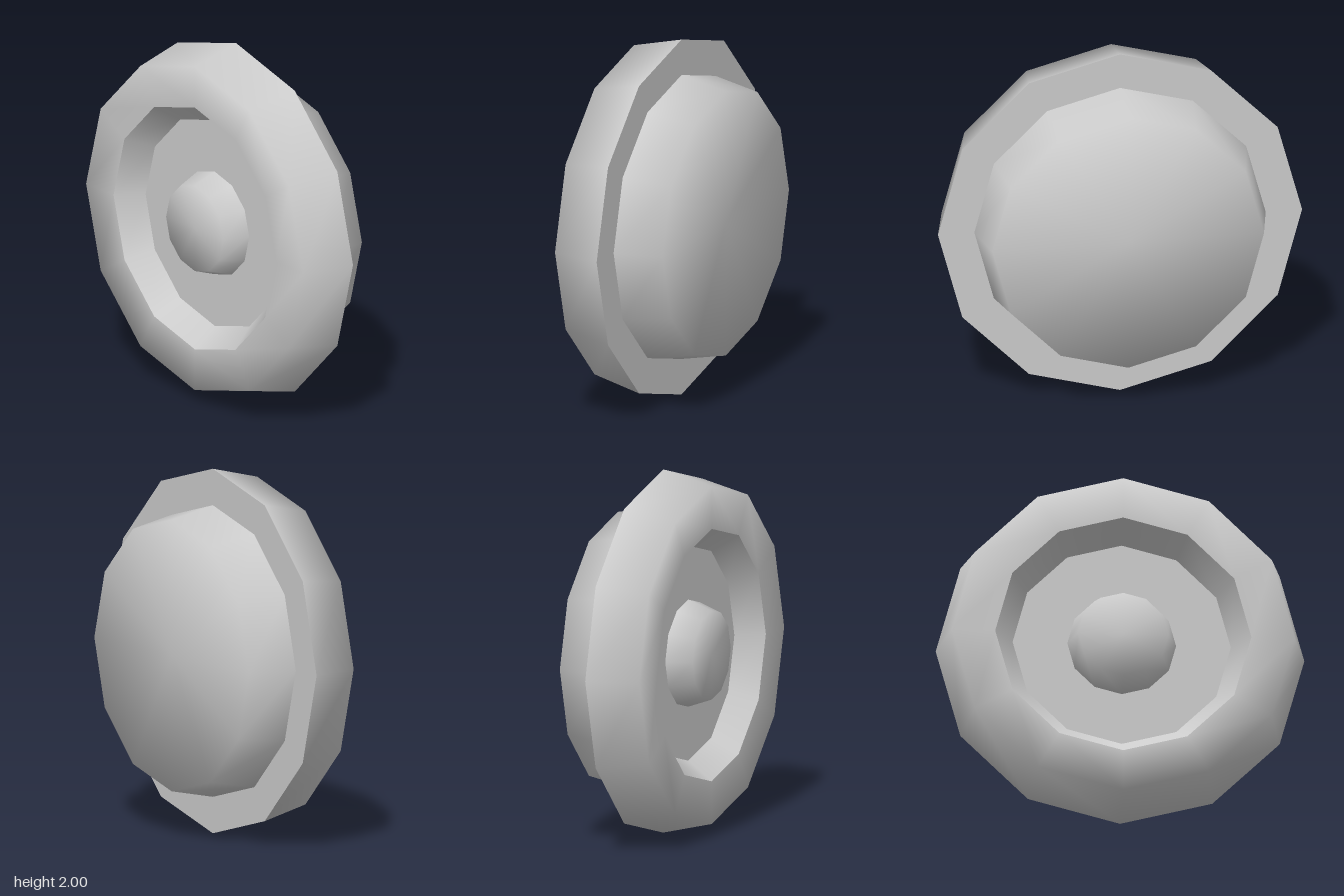
import * as THREE from 'three';

const SIDES = 12;

// Twelve-sided turned surface; profile is [radius, z] pairs running back to front on outer faces.
// Normals are averaged evenly at each inner profile point, so a profile is one smooth patch.
function turned(name, profile) {
  const pts = profile.map(([r, z]) => new THREE.Vector2(r, z));
  const geo = new THREE.LatheGeometry(pts, SIDES);
  const seg = pts.slice(1).map((p, i) =>
    new THREE.Vector2(p.y - pts[i].y, pts[i].x - p.x).normalize());
  const nor = geo.attributes.normal;
  for (let i = 0; i <= SIDES; i++) {
    const a = (i / SIDES) * Math.PI * 2;
    pts.forEach((p, j) => {
      const n = new THREE.Vector2();
      if (p.x === 0) n.copy(seg[Math.min(j, seg.length - 1)]);
      else {
        if (j > 0) n.add(seg[j - 1]);
        if (j < seg.length) n.add(seg[j]);
      }
      if (p.x === 0) n.set(0, Math.sign(n.y));
      n.normalize();
      nor.setXYZ(i * pts.length + j, n.x * Math.sin(a), n.y, n.x * Math.cos(a));
    });
  }
  geo.rotateX(Math.PI / 2);
  const mesh = new THREE.Mesh(geo, new THREE.MeshStandardMaterial({ color: 0xcccccc }));
  mesh.name = name;
  return mesh;
}

export function createModel() {
  const model = new THREE.Group();
  model.name = 'roundKnob';

  const back = -0.28, mid = -0.01, floor = 0.14, front = 0.28;

  // Rear drum with closed back, softly shaded into its tapered side
  model.add(turned('rearDrum', [[0, back], [0.745, back], [0.8, mid]]));
  // Flat step behind the wide rim
  model.add(turned('rearShoulder', [[0.8, mid], [1, mid]]));
  // Wide tapered rim with its front face
  model.add(turned('outerRim', [[1, mid], [0.93, front], [0.695, front]]));
  // Sunken dish: sloped wall and flat floor
  model.add(turned('recessWall', [[0.695, front], [0.592, floor]]));
  model.add(turned('recessFloor', [[0.592, floor], [0.295, floor]]));
  // Central button
  model.add(turned('centerButton', [[0.295, floor], [0.245, front], [0, front]]));

  model.position.y = 1;
  const root = new THREE.Group();
  root.name = 'model';
  root.add(model);
  return root;
}
